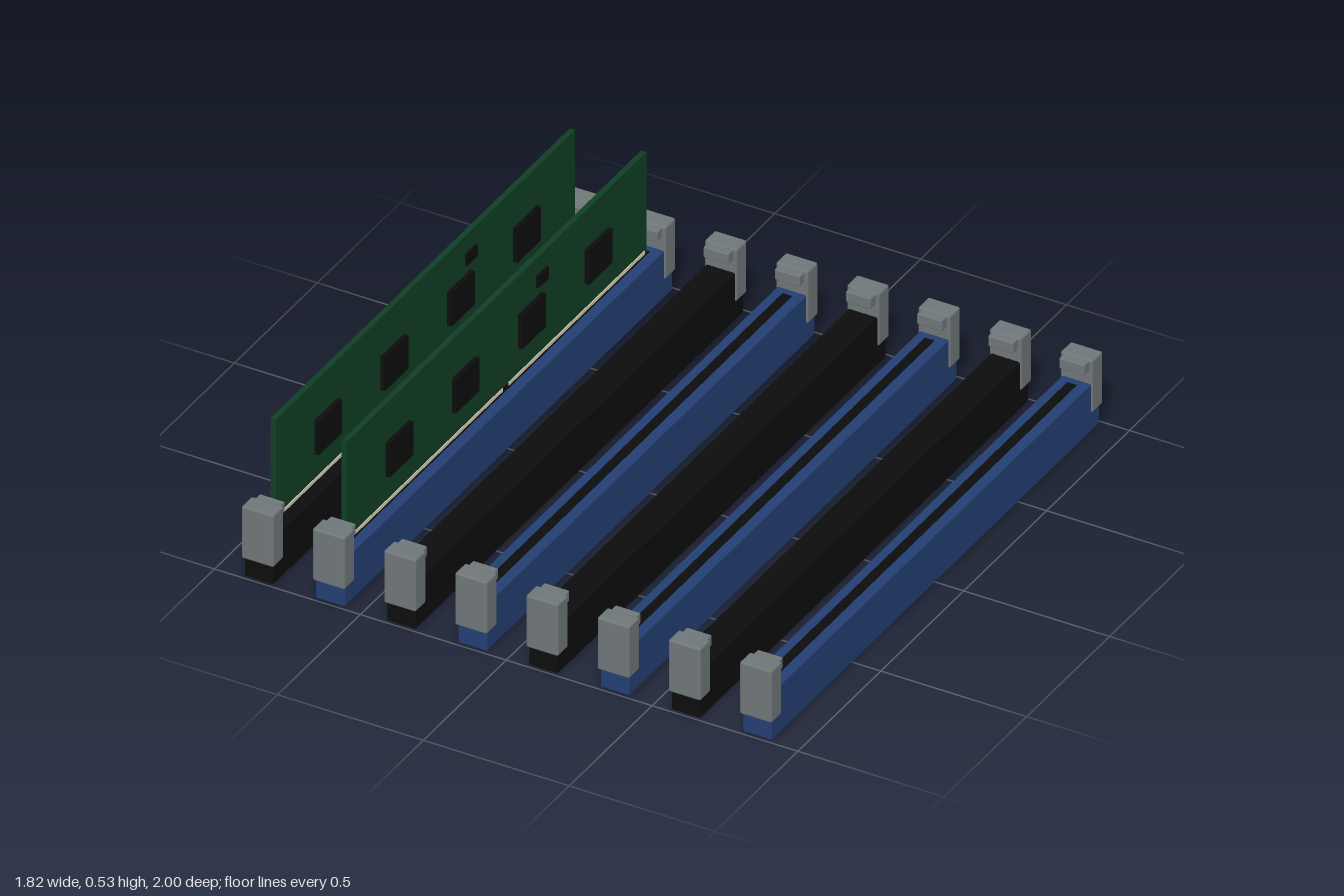
import * as THREE from 'three';
import { RoundedBoxGeometry } from 'three/addons/geometries/RoundedBoxGeometry.js';

const material = (name, color) => {
  const m = new THREE.MeshStandardMaterial({ color });
  m.name = name;
  return m;
};

export function createModel() {
  const black = material('black plastic', 0x0d0d0e);
  const blue = material('blue plastic', 0x243f74);
  const grey = material('latch grey', 0x70777a);
  const green = material('board green', 0x103f24);
  const paper = material('label paper', 0xdedad0);
  const metal = material('contact metal', 0xd9d1b8);

  // Box given by its limits on each axis; bevel > 0 softens the edges
  const box = (parent, name, mat, [x0, x1], [y0, y1], [z0, z1], bevel = 0) => {
    const size = [x1 - x0, y1 - y0, z1 - z0];
    const geo = bevel
      ? new RoundedBoxGeometry(...size, 2, bevel)
      : new THREE.BoxGeometry(...size);
    const mesh = new THREE.Mesh(geo, mat);
    mesh.name = name;
    mesh.position.set((x0 + x1) / 2, (y0 + y1) / 2, (z0 + z1) / 2);
    parent.add(mesh);
    return mesh;
  };

  // Long socket with a dark channel and a latch at both ends
  const makeSlot = (plastic) => {
    const slot = new THREE.Group();
    slot.name = 'slot';
    box(slot, 'slotBody', plastic, [-0.05, 0.05], [0, 0.17], [-0.99, 0.99], 0.006);
    box(slot, 'slotChannel', black, [-0.016, 0.016], [0.1, 0.172], [-0.91, 0.91]);
    for (const s of [-1, 1]) {
      const latch = new THREE.Group();
      latch.name = s > 0 ? 'frontLatch' : 'backLatch';
      box(latch, 'latchBody', grey, [-0.055, 0.055], [0.068, 0.254], [0.936, 1], 0.007);
      box(latch, 'latchHook', grey, [-0.043, 0.043], [0.212, 0.25], [0.908, 0.945], 0.004);
      if (s < 0) latch.rotation.y = Math.PI;
      slot.add(latch);
    }
    return slot;
  };

  // Upright circuit board with chips on both faces
  const makeModule = () => {
    const mod = new THREE.Group();
    mod.name = 'memoryModule';
    box(mod, 'board', green, [-0.009, 0.009], [0.12, 0.528], [-0.903, 0.903]);
    for (const s of [-1, 1]) {
      const side = (a, b) => (s > 0 ? [a, b] : [-b, -a]);
      for (const z of [-0.6, -0.2, 0.2, 0.6]) {
        box(mod, 'chip', black, side(0.008, 0.024), [0.272, 0.392], [z - 0.071, z + 0.071]);
      }
      // Contact rows on either side of the key notch
      for (const range of [[-0.89, -0.072], [-0.034, 0.89]]) {
        box(mod, 'contacts', metal, side(0.008, 0.0115), [0.13, 0.184], range);
      }
    }
    box(mod, 'keyNotch', black, [-0.0105, 0.0105], [0.14, 0.182], [-0.068, -0.038]);
    box(mod, 'smallChip', black, [0.008, 0.017], [0.425, 0.467], [-0.302, -0.238]);
    box(mod, 'label', paper, [-0.027, -0.0235], [0.25, 0.408], [-0.72, -0.04]);
    return mod;
  };

  const group = new THREE.Group();
  group.name = 'memorySlots';
  for (let i = 0; i < 8; i++) {
    const slot = makeSlot(i % 2 ? blue : black);
    if (i < 2) slot.add(makeModule());
    slot.position.x = (i - 3.5) * 0.244;
    group.add(slot);
  }
  return group;
}
